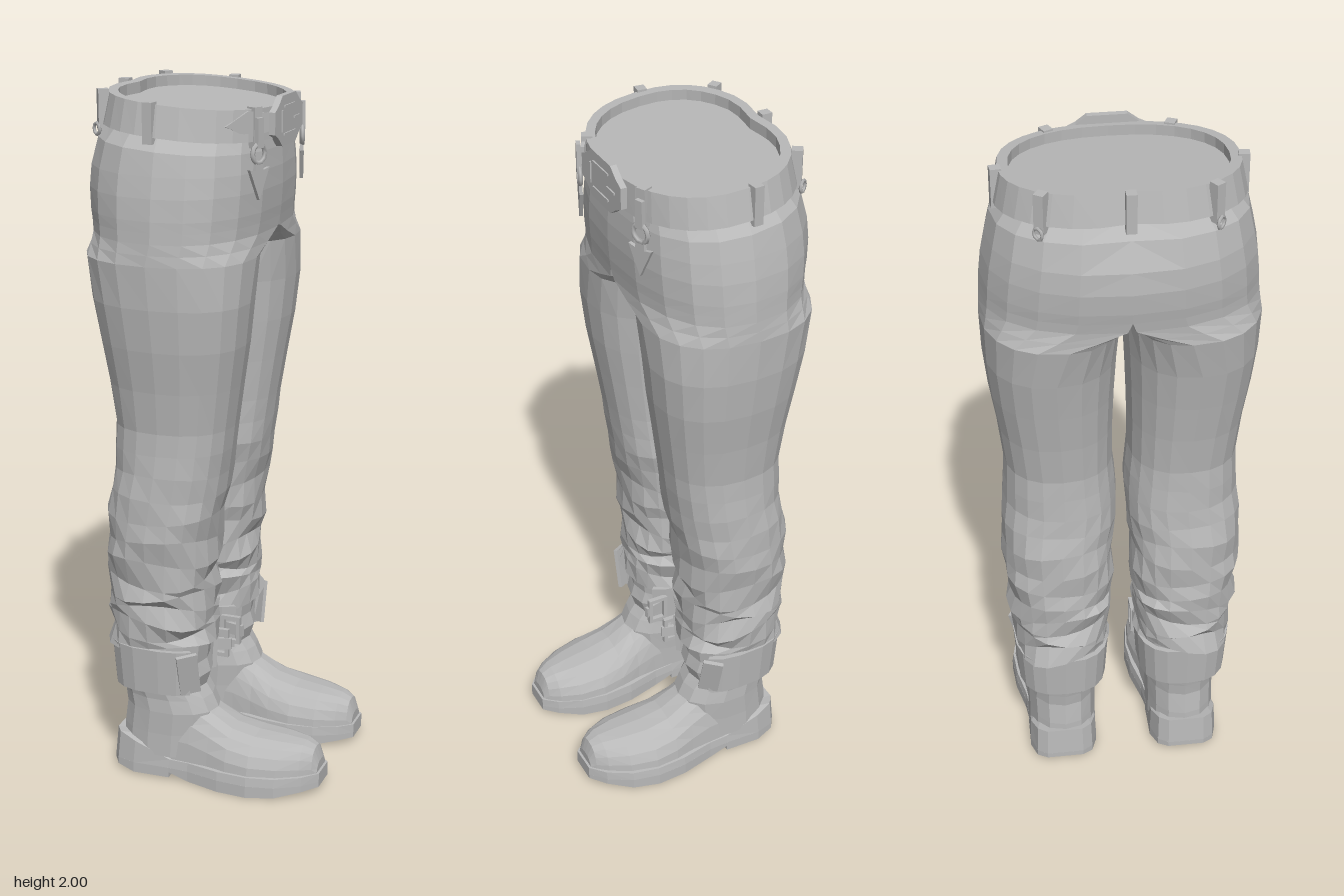
import * as THREE from 'three';

const grey = new THREE.MeshStandardMaterial({ color: 0xb8b8b8 });
grey.name = 'grey';

const { lerp, smoothstep } = THREE.MathUtils;
const pow = (v, p) => Math.sign(v) * Math.abs(v) ** p;
const steps = (n, f) => Array.from({ length: n }, (_, i) => f(i));

// Faceted skin over rings of [x, y, z]; it always turns its faces outward.
function loft(name, rings, loop = false) {
  const n = rings[0].length, tris = [];
  const last = loop ? rings.length : rings.length - 1;
  for (let r = 0; r < last; r++) {
    const a = rings[r], b = rings[(r + 1) % rings.length];
    for (let i = 0; i < n; i++) {
      const j = (i + 1) % n;
      tris.push([a[i], a[j], b[j]], [a[i], b[j], b[i]]);
    }
  }
  const cap = (ring, flip) => {
    const c = [0, 1, 2].map(k => ring.reduce((s, p) => s + p[k], 0) / n);
    ring.forEach((p, i) => {
      const q = ring[(i + 1) % n];
      tris.push(flip ? [c, q, p] : [c, p, q]);
    });
  };
  if (!loop) {
    cap(rings[0], true);
    cap(rings[rings.length - 1], false);
  }
  const volume = tris.reduce((v, [a, b, c]) => v + new THREE.Vector3(...a).dot(
    new THREE.Vector3(...b).cross(new THREE.Vector3(...c))), 0);
  const pts = tris.flatMap(([a, b, c]) => (volume < 0 ? [a, c, b] : [a, b, c])).flat();
  const g = new THREE.BufferGeometry();
  g.setAttribute('position', new THREE.Float32BufferAttribute(pts, 3));
  g.computeVertexNormals();
  return mesh(name, g);
}

function mesh(name, geometry, x = 0, y = 0, z = 0) {
  const m = new THREE.Mesh(geometry, grey);
  m.name = name;
  m.position.set(x, y, z);
  return m;
}
const box = (name, w, h, d, x, y, z) => mesh(name, new THREE.BoxGeometry(w, h, d), x, y, z);

// Flat plate facing +x, drawn as [across, up] points
function plate(name, points, depth, x, y, z) {
  const shape = new THREE.Shape(points.map(p => new THREE.Vector2(...p)));
  const m = mesh(name, new THREE.ExtrudeGeometry(shape, { depth, bevelEnabled: false }), x, y, z);
  m.rotation.y = Math.PI / 2;
  return m;
}

// The waist slopes down towards the front; its back is dented in the middle.
const slope = x => -0.085 * (x + 0.3);
const dent = (x, z) => (x < -0.2 ? 0.02 * Math.exp(-((z / 0.07) ** 2)) : 0);

// Trouser outline: y, front, back, inner z, outer z
const OUTLINE = [
  [0.42, 0.03, -0.28, 0.045, 0.32],
  [0.6, 0.025, -0.285, 0.03, 0.335],
  [0.8, 0.045, -0.28, 0.025, 0.35],
  [0.94, 0.07, -0.26, 0.01, 0.338],
  [1.1, 0.09, -0.255, 0.025, 0.33],
  [1.38, 0.135, -0.3, 0.015, 0.375],
  [1.55, 0.143, -0.335, 0.003, 0.382],
  [1.71, 0.162, -0.363, 0, 0.373],
  [1.79, 0.162, -0.36, 0, 0.358],
  [1.87, 0.158, -0.338, 0, 0.342],
  [1.92, 0.152, -0.3, 0, 0.305],
  [1.965, 0.15, -0.285, 0, 0.295],
];

function outlineAt(y) {
  const i = Math.max(1, OUTLINE.findIndex(r => r[0] >= y));
  const a = OUTLINE[i - 1], b = OUTLINE[i];
  return a.map((v, k) => lerp(v, b[k], (y - a[0]) / (b[0] - a[0])));
}

// One trouser row: a leg below the crotch that becomes half of the hips above it
function trouserRing(y, s, row) {
  const [, f, b, zi, zo] = outlineAt(y);
  const hip = smoothstep(y, 1.53, 1.63), waist = smoothstep(y, 1.75, 1.92);
  const mid = lerp((f + b) / 2, -0.08, hip);
  const wrinkle = 0.055 * (1 - smoothstep(y, 0.5, 1.15));
  const fold = (row % 2 ? -0.04 : 0.02) * (1 - smoothstep(y, 0.5, 0.75));
  return steps(20, i => {
    const t = i / 20 * Math.PI * 2;
    const k = 1 + fold + wrinkle * Math.sin(t * 3 + row * 2.3);
    const c = pow(Math.cos(t), 0.85), sn = pow(Math.sin(t), 0.85);
    const leg = (zi + zo) / 2 + (zo - zi) / 2 * sn * k;
    const z = Math.max(0, lerp(leg, zo * Math.max(0, sn), hip));
    let x = mid + (c > 0 ? f - mid : mid - b) * c * k;
    x += dent(x, z) * waist;
    return [x, y + slope(x) * waist + wrinkle * 0.3 * Math.sin(t * 2 + row * 1.7), z * s];
  });
}

function trouserHalf(s) {
  const ys = [];
  for (let y = 0.42; y < 1.85; y += y < 0.62 ? 0.04 : y < 1.05 ? 0.065 : y < 1.45 ? 0.12 : y < 1.65 ? 0.03 : 0.06) ys.push(y);
  ys.push(1.87, 1.92, 1.965);
  return loft(s > 0 ? 'leftTrouserHalf' : 'rightTrouserHalf', ys.map((y, i) => trouserRing(y, s, i)));
}

// Sole outline: x, half width, centre z
const SOLE = [[-0.265, 0.055, 0.188], [-0.245, 0.085, 0.188], [-0.19, 0.102, 0.187], [-0.08, 0.1, 0.186], [-0.02, 0.104, 0.185],
  [0.08, 0.126, 0.184], [0.17, 0.132, 0.183], [0.25, 0.118, 0.18], [0.32, 0.082, 0.175], [0.36, 0.042, 0.17]];

// Slab between two heights; its upper edge may be drawn in
function soleSlab(name, rows, s, low, high, taper = 1) {
  const ring = (h, k) => {
    const side = d => rows.map(([x, w, c]) => [x < 0 ? x * k : x, h(x), s * (c + d * w * k)]);
    return [...side(1), ...side(-1).reverse()];
  };
  return loft(name, [ring(low, 1), ring(high, taper)]);
}

function boot(s) {
  const g = new THREE.Group();
  g.name = s > 0 ? 'leftBoot' : 'rightBoot';
  const welt = x => 0.062 + 0.06 * smoothstep(-x, 0.08, 0.25);
  const tread = x => 0.02 * smoothstep(x, 0.2, 0.36) + 0.022 * smoothstep(-x, 0, 0.07);
  g.add(soleSlab('welt', SOLE, s, () => 0.035, welt, 0.97));
  g.add(soleSlab('heel', SOLE.slice(0, 4), s, x => 0.005 + 0.015 * smoothstep(-x, 0.2, 0.27), () => 0.036));
  g.add(soleSlab('foreSole', SOLE.slice(3), s, tread, () => 0.036));
  // Foot sections: x, height, half width
  const foot = [[-0.15, 0.26, 0.09], [-0.02, 0.25, 0.098], [0.04, 0.21, 0.104], [0.1, 0.175, 0.117],
    [0.17, 0.16, 0.124], [0.25, 0.152, 0.11], [0.31, 0.144, 0.08], [0.34, 0.13, 0.055], [0.353, 0.09, 0.042]];
  g.add(loft('footUpper', foot.map(([x, h, w]) => steps(11, i => {
    const t = i / 10 * Math.PI, c = 0.185 - 0.014 * smoothstep(x, 0.1, 0.36);
    return [x, 0.045 + (h - 0.045) * Math.abs(Math.sin(t)) ** 0.85, s * (c + w * pow(Math.cos(t), 0.8))];
  }))));
  // Ankle shaft rows: y, front, back, half width
  const shaft = [[0.07, 0.03, -0.253, 0.103], [0.14, 0.035, -0.25, 0.102], [0.21, 0.04, -0.24, 0.104], [0.25, 0.022, -0.245, 0.102],
    [0.28, 0.002, -0.25, 0.106], [0.32, 0.015, -0.25, 0.109], [0.36, 0.004, -0.25, 0.113], [0.45, 0.015, -0.25, 0.115]];
  g.add(loft('shaft', shaft.map(([y, f, b, w]) => steps(14, i => {
    const t = i / 14 * Math.PI * 2;
    return [(f + b) / 2 + (f - b) / 2 * pow(Math.cos(t), 0.9), y, s * (0.184 + w * pow(Math.sin(t), 0.9))];
  }))));
  // Cuff wrapped round the back, open at the front
  g.add(loft('cuff', steps(15, i => {
    const t = (48 + i / 14 * 264) * Math.PI / 180;
    const at = (k, y) => [-0.118 + 0.152 * k * pow(Math.cos(t), 0.75), y, s * (0.183 + 0.136 * k * pow(Math.sin(t), 0.75))];
    return [at(0.97, 0.282), at(1.04, 0.42), at(0.94, 0.42), at(0.88, 0.282)];
  })));
  // Fastenings: inner buckle and outer flap end
  for (const y of [0.315, 0.39]) g.add(box('cuffBuckleBar', 0.06, 0.012, 0.014, -0.01, y, s * 0.05));
  for (const x of [-0.035, 0.015]) g.add(box('cuffBucklePost', 0.012, 0.085, 0.014, x, 0.352, s * 0.05));
  const strap = box('cuffStrap', 0.08, 0.035, 0.012, -0.01, 0.352, s * 0.06);
  strap.rotation.y = s * 0.25;
  const flap = box('cuffFlap', 0.06, 0.13, 0.012, -0.01, 0.352, s * 0.297);
  flap.rotation.set(s * 0.25, s * 0.6, 0);
  g.add(strap, flap);
  return g;
}

function beltLoop(x, z) {
  const m = box('beltLoop', 0.03, 0.11, 0.028, x, 1.946 + slope(x), z);
  m.rotation.y = -Math.atan2(z / 0.1, (x + 0.08) / 0.06);
  return m;
}

function belt() {
  const g = new THREE.Group();
  g.name = 'belt';
  g.add(loft('beltBand', steps(32, i => {
    const t = i / 32 * Math.PI * 2, c = pow(Math.cos(t), 0.85), sn = pow(Math.sin(t), 0.85);
    const at = (f, b, w, y) => {
      const z = w * sn, x = -0.08 + (c > 0 ? f + 0.08 : -0.08 - b) * c;
      return [x + dent(x, z), y + slope(x), z];
    };
    return [at(0.17, -0.327, 0.334, 1.91), at(0.166, -0.308, 0.316, 1.995), at(0.143, -0.283, 0.287, 1.995), at(0.143, -0.283, 0.29, 1.91)];
  }), true));
  g.add(beltLoop(-0.308, 0));
  for (const s of [1, -1]) g.add(beltLoop(-0.1, s * 0.322), beltLoop(-0.277, s * 0.222), beltLoop(0.138, s * 0.168));
  // Buckle: a tall middle with a side lobe at each end, raised bars and the belt tongue
  const corner = [[0.115, 0.03], [0.085, 0.045], [0.055, 0.068]];
  const upper = [...corner, ...corner.map(([x, y]) => [-x, y]).reverse()];
  const buckle = [...upper, ...upper.map(([x, y]) => [x, -y]).reverse()];
  g.add(plate('buckle', buckle, 0.018, 0.16, 1.912, 0));
  for (const y of [1.95, 1.875]) g.add(box('buckleBar', 0.006, 0.006, 0.09, 0.179, y, 0));
  g.add(box('buckleSlot', 0.006, 0.006, 0.045, 0.179, 1.912, -0.06), box('bucklePin', 0.006, 0.06, 0.006, 0.179, 1.912, 0.06));
  const tongue = plate('beltTongue', [[-0.075, 0], [0, -0.035], [0.07, -0.025], [0.07, 0.025], [0, 0.035]], 0.01, 0.124, 1.92, 0.195);
  tongue.rotation.y = Math.PI / 2 - 0.55;
  g.add(tongue);
  return g;
}

// Hanging ring and arrow-shaped charm below a front loop
function pendant(s) {
  const g = new THREE.Group();
  g.name = s > 0 ? 'leftPendant' : 'rightPendant';
  const ring = mesh('pendantRing', new THREE.TorusGeometry(0.026, 0.007, 5, 10), 0.01, 0, 0);
  ring.rotation.y = Math.PI / 2;
  g.add(ring, box('pendantStrap', 0.012, 0.08, 0.024, 0.012, 0.055, 0));
  const half = [[0.04, -0.04], [0.016, -0.045], [0.014, -0.02]];
  const arrow = [[0, -0.125], ...half, ...half.map(([x, y]) => [-x, y]).reverse()];
  g.add(plate('pendantCharm', arrow, 0.01, 0.004, 0, 0));
  g.position.set(0.146, 1.842, s * 0.178);
  g.rotation.y = -s * 0.35;
  return g;
}

// Small ring under the belt at the back
function rearHook(s) {
  const hook = mesh('rearHook', new THREE.TorusGeometry(0.016, 0.005, 5, 8), -0.292, 1.892, s * 0.232);
  hook.rotation.y = s * 0.9 - Math.PI / 2 * s;
  return hook;
}

export function createModel() {
  const model = new THREE.Group();
  model.name = 'trousersAndBoots';
  for (const s of [1, -1]) model.add(trouserHalf(s), boot(s), pendant(s), rearHook(s));
  model.add(belt());
  return model;
}
